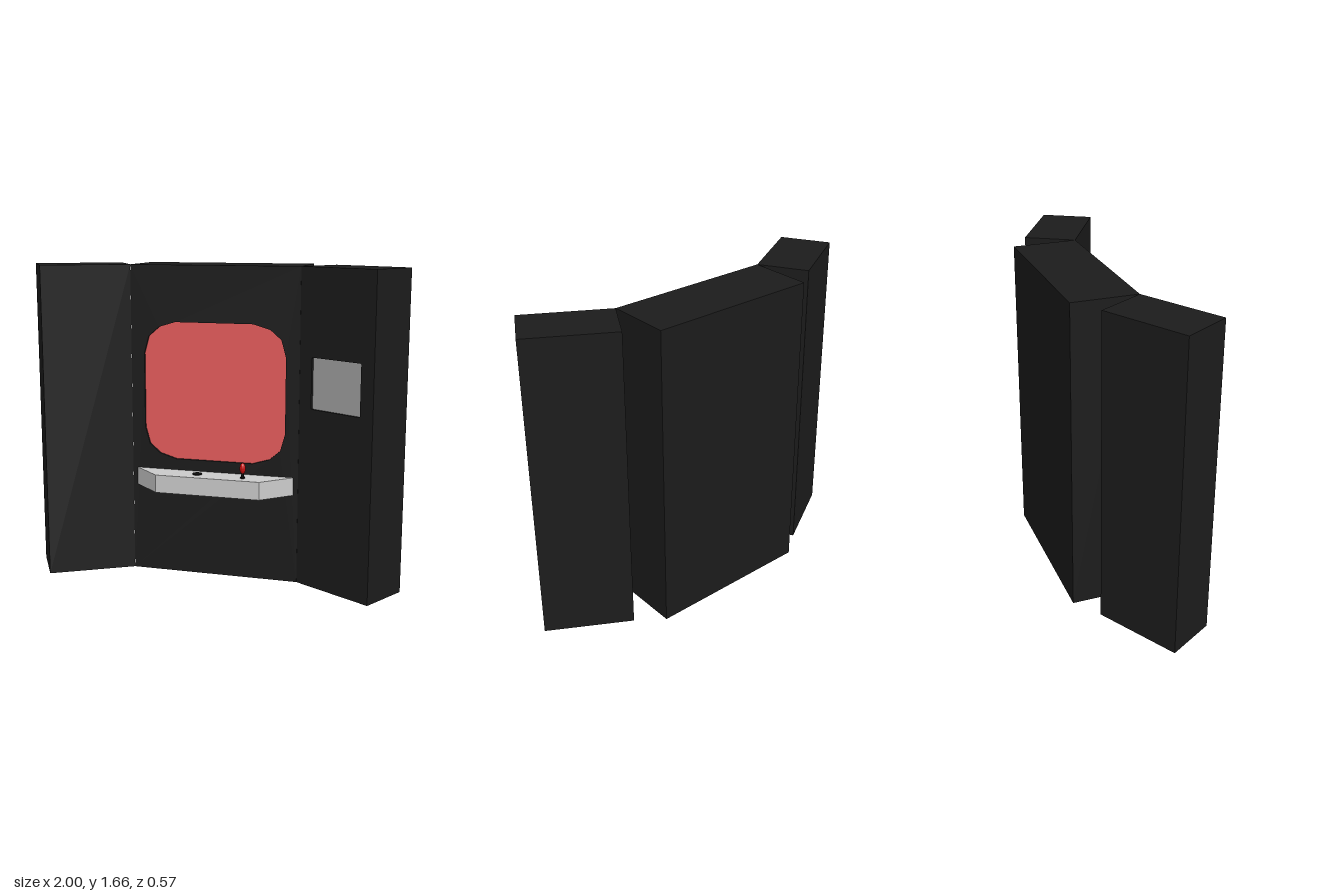
import * as THREE from 'three';

const H = 1.66;
const RECESS = 0.015;

const mat = (color) => new THREE.MeshStandardMaterial({ color, flatShading: true });

function add(parent, name, geometry, material, x = 0, y = 0, z = 0) {
  const mesh = new THREE.Mesh(geometry, material);
  mesh.name = name;
  mesh.position.set(x, y, z);
  parent.add(mesh);
  return mesh;
}

// Four-way symmetric outline from one corner's points, listed counter-clockwise
function outline(corner, cy) {
  const back = [...corner].reverse();
  const pts = [
    ...corner,
    ...back.map(([x, y]) => [-x, y]),
    ...corner.map(([x, y]) => [-x, -y]),
    ...back.map(([x, y]) => [x, -y]),
  ];
  return pts.map(([x, y]) => new THREE.Vector2(x, y + cy));
}

// Upright wall block whose front face is local z = 0, with an optional recessed screen
function wallPanel(name, width, depth, material, screen) {
  const group = new THREE.Group();
  group.name = name;
  const inset = screen ? RECESS : 0;
  add(group, name + 'Body', new THREE.BoxGeometry(width, H, depth - inset), material, 0, H / 2, -(depth + inset) / 2);
  if (screen) {
    const points = outline(screen.corner, screen.y);
    const face = new THREE.Shape(outline([[width / 2, H / 2]], H / 2));
    face.holes.push(new THREE.Path(points));
    add(group, name + 'Face', new THREE.ExtrudeGeometry(face, { depth: RECESS, bevelEnabled: false }), material, 0, 0, -RECESS);
    add(group, screen.name, new THREE.ShapeGeometry(new THREE.Shape(points)), mat(screen.color), 0, 0, -RECESS + 0.003);
  }
  return group;
}

export function createModel() {
  const model = new THREE.Group();
  model.name = 'controlBooth';
  const dark = mat(0x1c1c1c);
  const black = mat(0x0c0c0c);
  const red = mat(0xc81010);

  // Centre wall with the large rounded window
  const centre = wallPanel('centreWall', 0.91, 0.34, dark, {
    name: 'mainScreen', color: 0xe65c5c, y: 0.997,
    corner: [[0.383, 0.2], [0.358, 0.29], [0.3, 0.34], [0.21, 0.367]],
  });
  centre.position.z = 0.05;
  model.add(centre);

  // Angled side walls; the left one carries a small screen
  for (const side of [1, -1]) {
    const wing = wallPanel(side > 0 ? 'leftWall' : 'rightWall', 0.468, 0.275, dark, side > 0 && {
      name: 'sideScreen', color: 0xaaaaaa, y: 1.077,
      corner: [[0.155, 0.128], [0.151, 0.132]],
    });
    wing.position.set(side * 0.658, 0, 0.167);
    wing.rotation.y = -side * Math.PI / 6;
    model.add(wing);
  }

  // Control shelf with cut-away front corners
  const plan = new THREE.Shape([[-0.43, -0.05], [-0.28, -0.19], [0.28, -0.19], [0.43, -0.05]]
    .map(([x, y]) => new THREE.Vector2(x, y)));
  const shelf = add(model, 'controlShelf', new THREE.ExtrudeGeometry(plan, { depth: 0.095, bevelEnabled: false }), mat(0xcccccc), 0, 0.475, 0);
  shelf.rotation.x = -Math.PI / 2;

  // Flat round button
  add(model, 'button', new THREE.CylinderGeometry(0.025, 0.025, 0.006, 20), black, -0.073, 0.572, 0.115);

  // Lever: base, stem and elongated red knob
  const lever = new THREE.Group();
  lever.name = 'lever';
  lever.position.set(0.178, 0.57, 0.13);
  add(lever, 'leverBase', new THREE.CylinderGeometry(0.014, 0.014, 0.006, 16), black, 0, 0.003, 0);
  add(lever, 'leverStem', new THREE.CylinderGeometry(0.006, 0.008, 0.035, 10), black, 0, 0.0175, 0);
  const knob = add(lever, 'leverKnob', new THREE.SphereGeometry(0.016, 12, 10), red, 0, 0.052, 0);
  knob.scale.y = 1.8;
  model.add(lever);

  return model;
}
